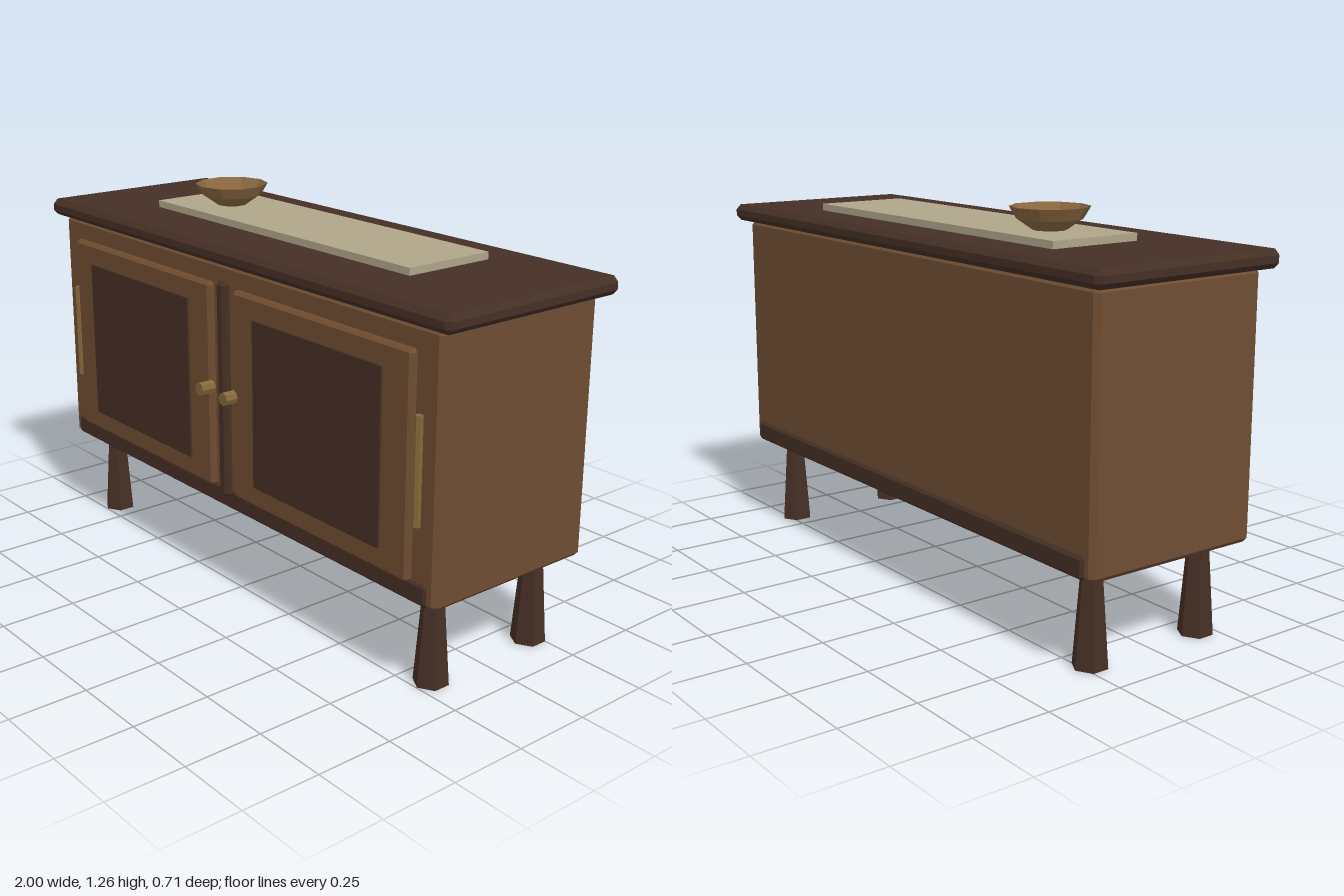
import * as THREE from 'three';
import { ConvexGeometry } from 'three/addons/geometries/ConvexGeometry.js';

const mat = (color, extra = {}) => {
  const m = new THREE.MeshStandardMaterial({ color, flatShading: true, ...extra });
  return m;
};

// Box between two corners with every edge chamfered by c
function chamferBox([x0, y0, z0], [x1, y1, z1], c) {
  const half = [(x1 - x0) / 2, (y1 - y0) / 2, (z1 - z0) / 2];
  const points = [];
  for (const sx of [-1, 1]) for (const sy of [-1, 1]) for (const sz of [-1, 1])
    for (let axis = 0; axis < 3; axis++) {
      const p = half.map((h, i) => (i === axis ? h : h - c));
      points.push(new THREE.Vector3(sx * p[0], sy * p[1], sz * p[2]));
    }
  return new ConvexGeometry(points).translate((x0 + x1) / 2, (y0 + y1) / 2, (z0 + z1) / 2);
}

function plainBox([x0, y0, z0], [x1, y1, z1]) {
  return new THREE.BoxGeometry(x1 - x0, y1 - y0, z1 - z0)
    .translate((x0 + x1) / 2, (y0 + y1) / 2, (z0 + z1) / 2);
}

export function createModel() {
  const group = new THREE.Group();
  const wood = mat(0x6f4d32), dark = mat(0x452f25), linen = mat(0xb0a58a), brass = mat(0x86683a);
  const bowlWood = mat(0x8b6840, { side: THREE.DoubleSide });

  const add = (name, geometry, material, x = 0, y = 0, z = 0) => {
    const mesh = new THREE.Mesh(geometry, material);
    mesh.name = name;
    mesh.position.set(x, y, z);
    group.add(mesh);
    return mesh;
  };

  // Cabinet carcass, overhanging top and base rail
  add('cabinetBody', chamferBox([-0.952, 0.294, -0.317], [0.952, 1.11, 0.297], 0.016), wood);
  add('countertop', chamferBox([-1, 1.108, -0.354], [1, 1.164, 0.327], 0.017), dark);
  add('baseRail', chamferBox([-0.92, 0.3, -0.327], [0.92, 0.368, 0.304], 0.009), dark);
  add('centreStile', chamferBox([-0.021, 0.345, 0.28], [0.021, 1.055, 0.322], 0.01), dark);

  // Mirrored doors with panel, knob and hinge
  for (const side of [-1, 1]) {
    const name = side > 0 ? 'left' : 'right';
    const cx = side * 0.458;
    add(name + 'Door', chamferBox([cx - 0.399, 0.36, 0.28], [cx + 0.399, 1.04, 0.319], 0.01), wood);
    add(name + 'DoorPanel', plainBox([cx - 0.288, 0.43, 0.3], [cx + 0.288, 0.97, 0.326]), dark);
    add(name + 'Knob', new THREE.CylinderGeometry(0.022, 0.022, 0.05, 8).rotateX(Math.PI / 2),
      brass, side * 0.063, 0.7, 0.335);
    add(name + 'Hinge', new THREE.CylinderGeometry(0.012, 0.012, 0.325, 6), brass, side * 0.879, 0.7, 0.305);
  }

  // Six-sided legs that widen towards the floor
  for (const x of [-0.842, 0.842]) for (const z of [0.193, -0.222])
    add((z > 0 ? 'front' : 'back') + (x > 0 ? 'Left' : 'Right') + 'Leg',
      new THREE.CylinderGeometry(0.032, 0.055, 0.3, 6), dark, x, 0.15, z);

  // Table runner and faceted bowl
  add('runner', plainBox([-0.63, 1.16, -0.202], [0.627, 1.187, 0.114]), linen);
  const profile = [[0, 0], [0.052, 0], [0.1, 0.033], [0.122, 0.07]]
    .map(([r, y]) => new THREE.Vector2(r, y));
  add('bowl', new THREE.LatheGeometry(profile, 10), bowlWood, -0.422, 1.188, -0.044);

  return group;
}
